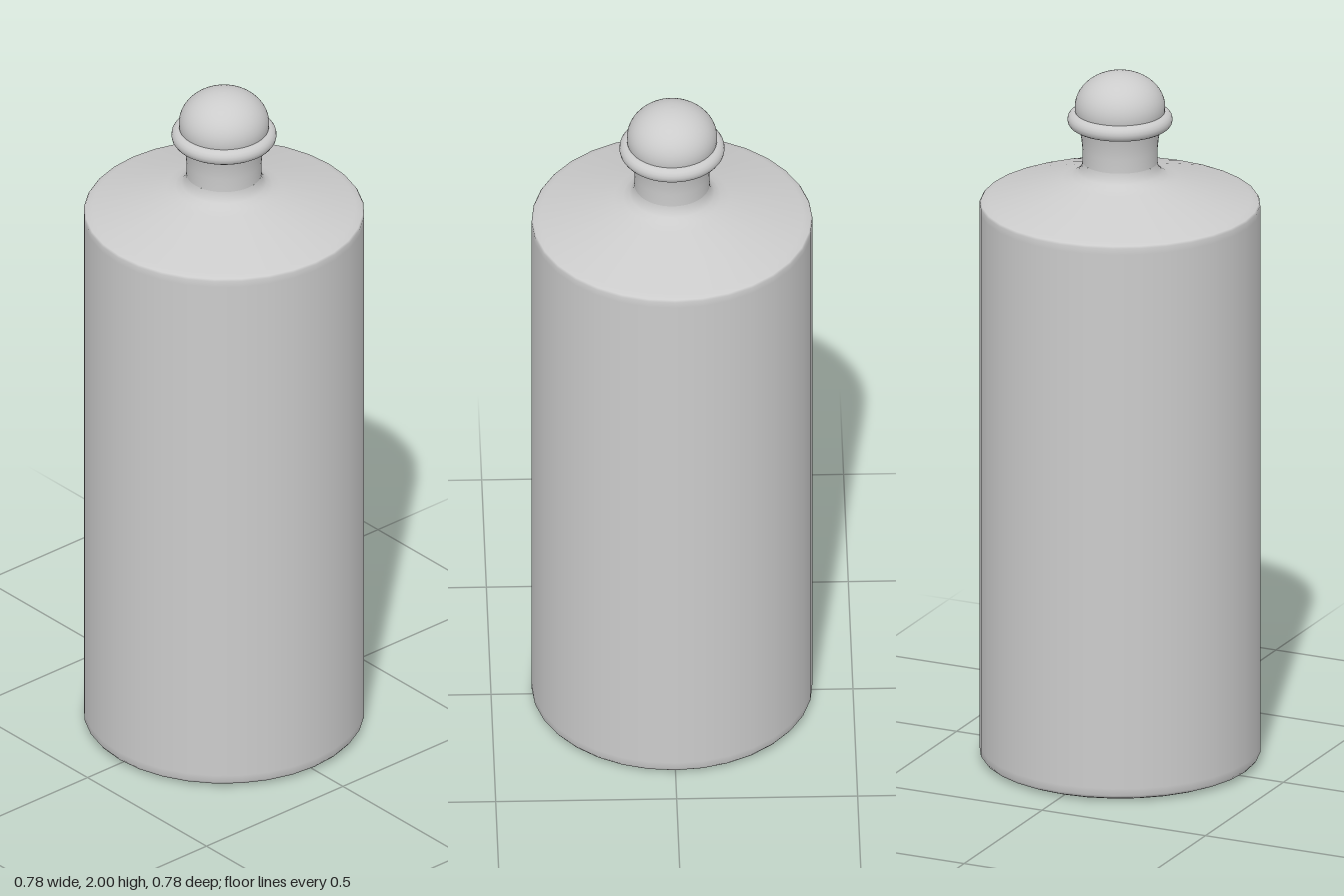
import * as THREE from 'three';

const material = new THREE.MeshStandardMaterial({ color: 0xcccccc });

// Revolves a bottom-to-top profile of [radius, height] pairs
function turned(name, profile, sides) {
  const points = profile.map(([r, y]) => new THREE.Vector2(r, y));
  const mesh = new THREE.Mesh(new THREE.LatheGeometry(points, sides), material);
  mesh.name = name;
  return mesh;
}

// Points along an elliptical arc in the profile plane
function arc(cx, cy, rx, ry, from, to, steps) {
  return Array.from({ length: steps + 1 }, (_, i) => {
    const a = from + ((to - from) * i) / steps;
    return [Math.max(0, cx + rx * Math.cos(a)), cy + ry * Math.sin(a)];
  });
}

export function createModel() {
  const bottle = new THREE.Group();
  bottle.name = 'bottle';

  // Cylindrical body with a chamfered foot and a gently sloping shoulder
  bottle.add(turned('body', [
    [0, 0], [0.35, 0], [0.365, 0.004], [0.381, 0.011], [0.388, 0.02], [0.388, 0.04],
    [0.388, 1.60], [0.388, 1.618], [0.384, 1.624], [0.365, 1.63],
    [0.16, 1.692], [0.135, 1.70], [0.117, 1.711], [0.107, 1.725], [0.104, 1.74],
  ], 32));

  // Neck, flaring slightly under the collar
  bottle.add(turned('neck', [
    [0.104, 1.74], [0.104, 1.78], [0.107, 1.81], [0.112, 1.835], [0.116, 1.85], [0.116, 1.87],
  ], 48));

  // Rounded collar ring
  const collar = new THREE.Mesh(new THREE.TorusGeometry(0.123, 0.0225, 16, 64), material);
  collar.name = 'collar';
  collar.rotation.x = Math.PI / 2;
  collar.position.y = 1.864;
  bottle.add(collar);

  // Domed stopper with a slightly tucked-in base
  bottle.add(turned('stopper', [
    [0, 1.865], [0.118, 1.868],
    ...arc(0, 1.9, 0.125, 0.1, -0.2, Math.PI / 2, 16),
  ], 48));

  return bottle;
}
